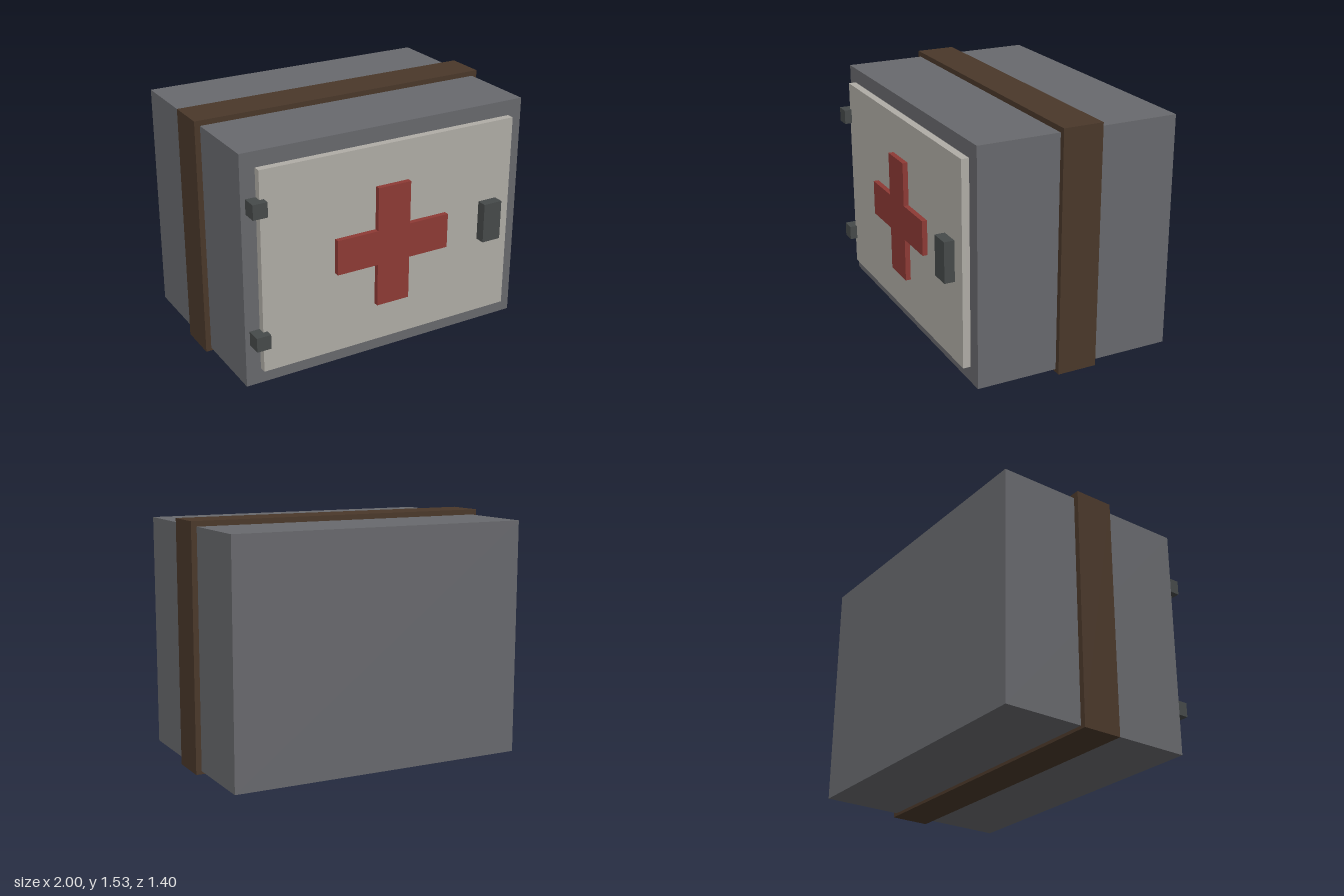
import * as THREE from 'three';

const makeMaterial = (name, color) => {
  const material = new THREE.MeshStandardMaterial({ color });
  material.name = name;
  return material;
};

export function createModel() {
  const model = new THREE.Group();
  model.name = 'firstAidCabinet';

  const grey = makeMaterial('cabinet grey', 0x68696d);
  const brown = makeMaterial('strap brown', 0x4a382a);
  const cream = makeMaterial('door cream', 0xb0ada6);
  const red = makeMaterial('cross red', 0x8e3a35);
  const dark = makeMaterial('fitting dark grey', 0x464a4a);

  // Box given by its lower and upper limits on each axis
  const addBox = (name, material, [x0, x1], [y0, y1], [z0, z1]) => {
    const mesh = new THREE.Mesh(new THREE.BoxGeometry(x1 - x0, y1 - y0, z1 - z0), material);
    mesh.position.set((x0 + x1) / 2, (y0 + y1) / 2, (z0 + z1) / 2);
    mesh.name = name;
    model.add(mesh);
  };

  const front = 0.587; // front face of the cabinet
  const doorFront = 0.635;

  // Cabinet, the strap around it and the door
  addBox('cabinet', grey, [-0.965, 0.965], [0.02, 1.502], [-0.7, front]);
  addBox('strap', brown, [-1, 1], [0, 1.535], [-0.185, 0.07]);
  addBox('door', cream, [-0.87, 0.87], [0.12, 1.405], [front, doorFront]);

  // Hinges on one edge of the door, latch on the other
  addBox('lowerHinge', dark, [-0.935, -0.843], [0.295, 0.387], [front, 0.683]);
  addBox('upperHinge', dark, [-0.935, -0.843], [1.135, 1.228], [front, 0.683]);
  addBox('latch', dark, [0.641, 0.77], [0.633, 0.89], [doorFront, 0.7]);

  // Raised cross: one arm's three corners, turned four times
  const half = 0.112, reach = 0.388;
  const points = [];
  for (let i = 0; i < 4; i++) {
    for (const [x, y] of [[reach, -half], [reach, half], [half, half]]) {
      points.push(new THREE.Vector2(x, y).rotateAround(new THREE.Vector2(), i * Math.PI / 2));
    }
  }
  const cross = new THREE.Mesh(
    new THREE.ExtrudeGeometry(new THREE.Shape(points), { depth: 0.033, bevelEnabled: false }), red);
  cross.position.set(0, 0.762, doorFront);
  cross.name = 'cross';
  model.add(cross);

  return model;
}
